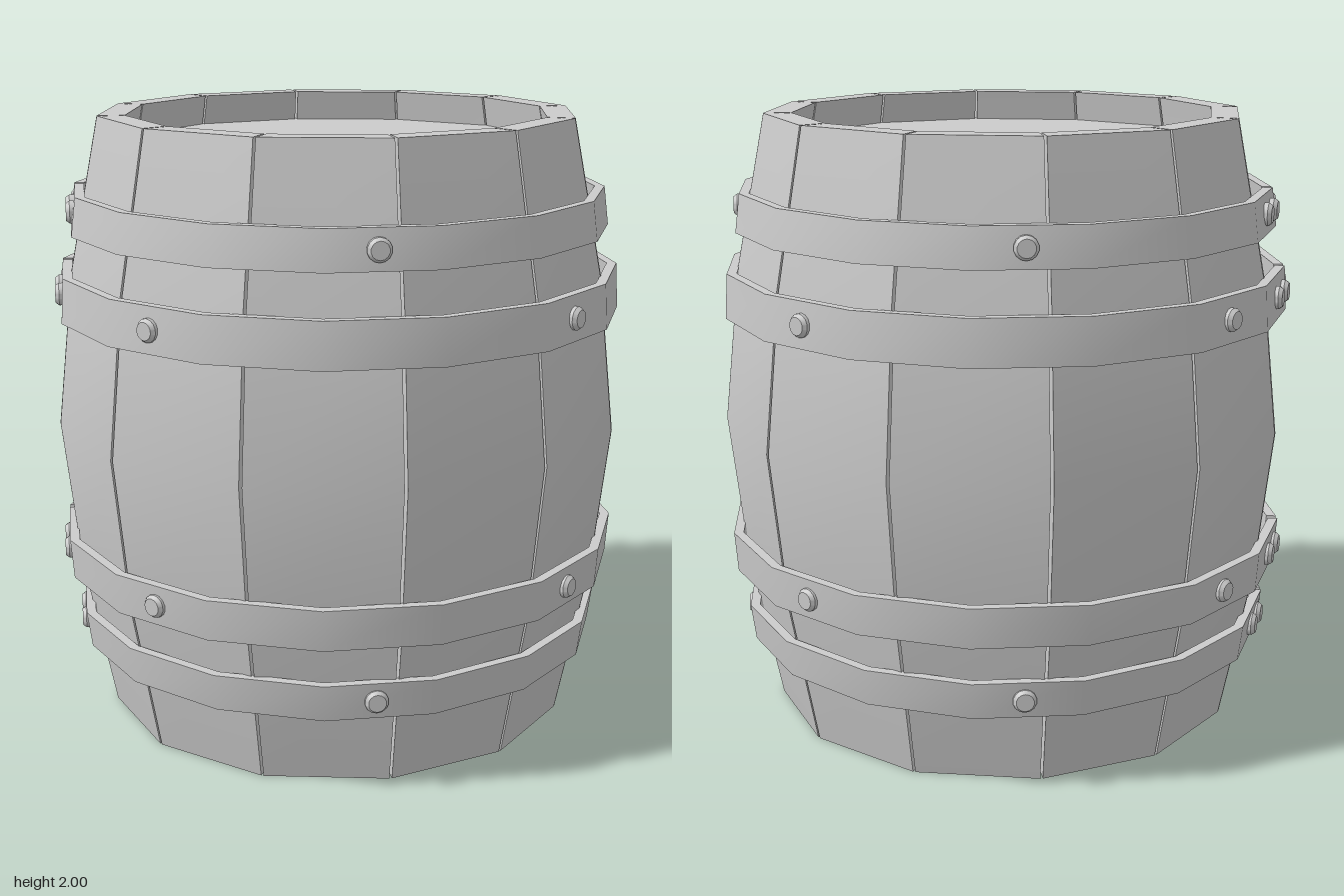
import * as THREE from 'three';
import { toCreasedNormals } from 'three/addons/utils/BufferGeometryUtils.js';

const material = new THREE.MeshStandardMaterial({ color: 0xcccccc });
const DEG = Math.PI / 180;

function addMesh(parent, name, geometry) {
  const mesh = new THREE.Mesh(geometry, material);
  mesh.name = name;
  parent.add(mesh);
  return mesh;
}

// Sweeps a closed [radius, y] profile (outer side upwards, inner side downwards)
// round the y axis through stations of [angle, radius factor], with capped ends.
function sweep(profile, stations) {
  const n = profile.length, last = (stations.length - 1) * n;
  const positions = [], index = [];
  for (const [a, f] of stations) {
    for (const [r, y] of profile) positions.push(r * f * Math.sin(a), y, r * f * Math.cos(a));
  }
  const quad = (a, b, c, d) => index.push(a, b, c, a, c, d);
  for (let i = 0; i < last; i += n) {
    for (let j = 0; j < n; j++) {
      const k = (j + 1) % n;
      quad(i + j, i + n + j, i + n + k, i + k);
    }
  }
  for (let k = 0; k < n / 2 - 1; k++) {
    quad(k, k + 1, n - 2 - k, n - 1 - k);
    quad(last + n - 1 - k, last + n - 2 - k, last + k + 1, last + k);
  }
  const geometry = new THREE.BufferGeometry();
  geometry.setAttribute('position', new THREE.Float32BufferAttribute(positions, 3));
  geometry.setIndex(index);
  return toCreasedNormals(geometry, 0.5);
}

// Hoops are 16-sided: middle of the flat at an angle, and its distance relative to a corner
const SIDE = 22.5;
const flatMiddle = (deg) => (Math.floor(deg / SIDE) + 0.5) * SIDE;
const flatFactor = (deg) => Math.cos(SIDE / 2 * DEG) / Math.cos((deg - flatMiddle(deg)) * DEG);

function makeHoop(name, y0, y1, r0, r1, rivetAngles) {
  const group = new THREE.Group();
  group.name = name;
  const t = 0.032;

  // Open band with its joint at the front right
  const start = -43.6, end = 314.9;
  const stations = [[start * DEG, flatFactor(start)]];
  for (let a = -SIDE; a < end; a += SIDE) stations.push([a * DEG, 1]);
  stations.push([end * DEG, flatFactor(end)]);
  addMesh(group, 'band', sweep([[r0, y0], [r1, y1], [r1 - t, y1], [r0 - t, y0]], stations));

  // Rivets, set square to the flats
  const y = (y0 + y1) / 2, r = (r0 + r1) / 2;
  const head = toCreasedNormals(new THREE.CylinderGeometry(0.028, 0.037, 0.012, 14).translate(0, 0.016, 0), 0.5);
  const shank = toCreasedNormals(new THREE.CylinderGeometry(0.037, 0.037, 0.03, 14, 1, true).translate(0, -0.005, 0), 0.5);
  for (const a of rivetAngles) {
    const rivet = new THREE.Group();
    rivet.name = 'rivet';
    addMesh(rivet, 'rivetHead', head);
    addMesh(rivet, 'rivetShank', shank);
    const d = r * flatFactor(a);
    rivet.position.set(d * Math.sin(a * DEG), y, d * Math.cos(a * DEG));
    rivet.rotation.set(Math.PI / 2, flatMiddle(a) * DEG, 0, 'YXZ');
    group.add(rivet);
  }
  return group;
}

export function createModel() {
  const barrel = new THREE.Group();
  barrel.name = 'barrel';

  // Twelve bulging staves with narrow gaps
  const outer = [[0.78, 0], [0.88, 0.5], [0.935, 1], [0.88, 1.5], [0.78, 2]];
  const inner = outer.map(([r, y]) => [r - 0.09, y]).reverse();
  const gap = 0.3;
  const staveGeometry = sweep([...outer, ...inner], [[gap * DEG, 1], [(30 - gap) * DEG, 1]]);
  const staves = new THREE.Group();
  staves.name = 'staves';
  for (let i = 0; i < 12; i++) addMesh(staves, 'stave', staveGeometry).rotation.y = i * 30 * DEG;
  barrel.add(staves);

  // Recessed heads at both ends
  const headGeometry = toCreasedNormals(new THREE.CylinderGeometry(0.74, 0.74, 0.05, 12), 0.4);
  addMesh(barrel, 'topHead', headGeometry).position.y = 1.875;
  addMesh(barrel, 'bottomHead', headGeometry).position.y = 0.125;

  // Hoops: four rivets at the joint, the rest spread round the barrel
  const joint = [-56, -49, -38.5, -29.8];
  const endRivets = [...joint, 55.5, 145.5, 235.5];
  const middleRivets = [...joint, 10, 100, 190, 280];
  barrel.add(
    makeHoop('topHoop', 1.635, 1.76, 0.89, 0.874, endRivets),
    makeHoop('upperHoop', 1.36, 1.505, 0.932, 0.923, middleRivets),
    makeHoop('lowerHoop', 0.5, 0.632, 0.925, 0.935, middleRivets),
    makeHoop('bottomHoop', 0.25, 0.37, 0.874, 0.89, endRivets)
  );
  return barrel;
}
